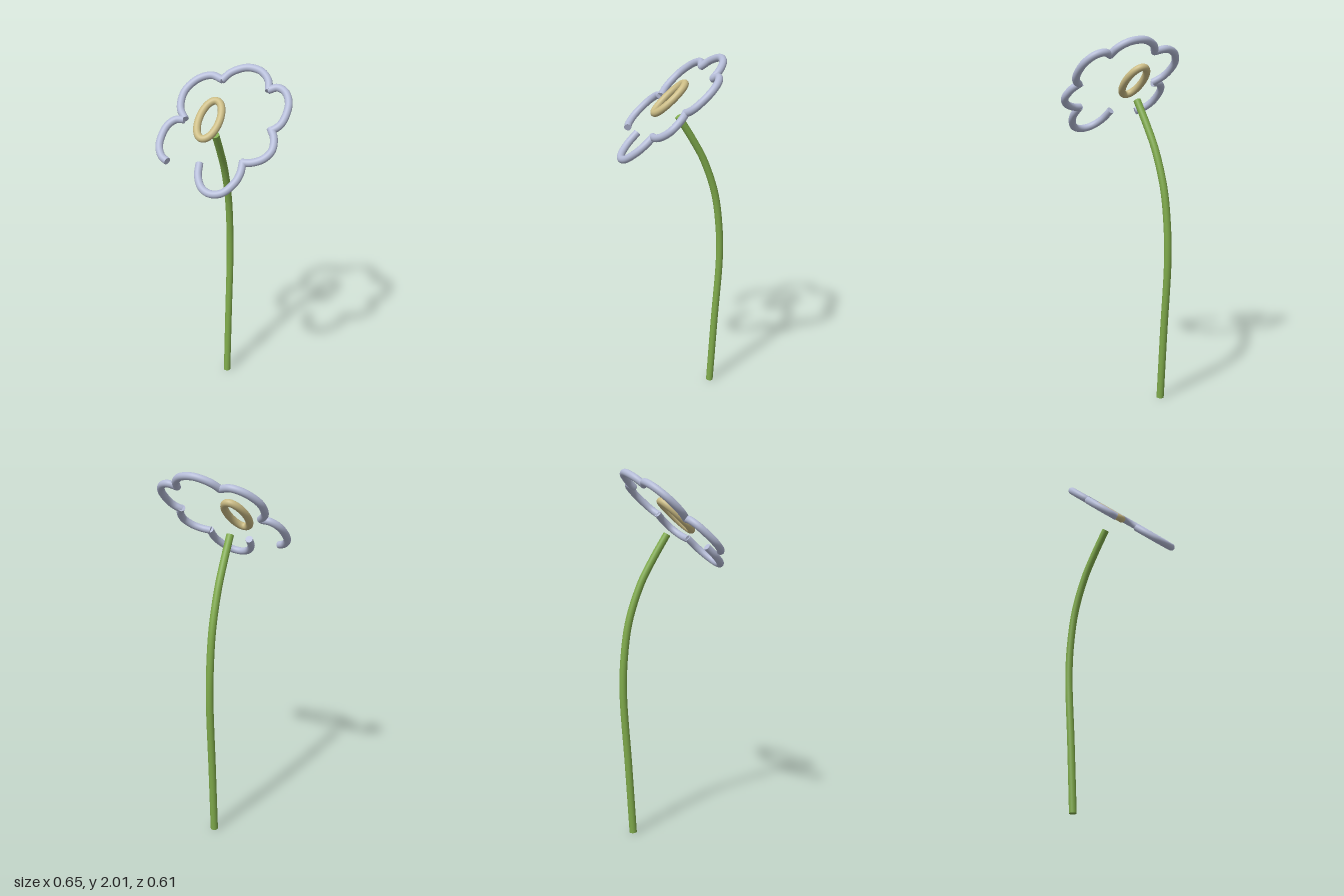
import * as THREE from 'three';

const TUBE_RADIUS = 0.0205;
const material = (color) => new THREE.MeshStandardMaterial({ color });

// The blossom lies in one tilted plane: height follows from x and z
const onBlossom = (x, z) => new THREE.Vector3(x, 1.747 - 0.43 * x - 0.81 * z, z);

// Round tube along a curve, closed by a flat disc at each end
function cappedTube(name, points, segments, mat) {
  const group = new THREE.Group();
  group.name = name;
  const curve = new THREE.CatmullRomCurve3(points, false, 'centripetal');
  const tube = new THREE.Mesh(new THREE.TubeGeometry(curve, segments, TUBE_RADIUS, 24), mat);
  tube.name = name + 'Tube';
  group.add(tube);
  for (const end of [0, 1]) {
    const cap = new THREE.Mesh(new THREE.CircleGeometry(TUBE_RADIUS, 24), mat);
    cap.name = name + 'Cap';
    const outward = curve.getTangentAt(end).multiplyScalar(end ? 1 : -1);
    cap.quaternion.setFromUnitVectors(new THREE.Vector3(0, 0, 1), outward);
    cap.position.copy(curve.getPointAt(end));
    group.add(cap);
  }
  return group;
}

export function createModel() {
  const model = new THREE.Group();
  model.name = 'flower';

  // Stem: bends within one vertical plane, given as [height, z]
  const stemProfile = [
    [0.001, -0.192], [0.4, -0.213], [0.8, -0.235], [1.0, -0.229],
    [1.2, -0.204], [1.4, -0.146], [1.52, -0.092], [1.66, -0.02],
  ];
  const stemPoints = stemProfile.map(
    ([y, z]) => new THREE.Vector3(-0.237 + (z + 0.235) / 1.5, y, z));
  model.add(cappedTube('stem', stemPoints, 80, material(0x7faa4b)));

  // Petals: six bowed tubes meeting in cusps, open at the front, as [x, z]
  const petals = [
    [[-0.122, 0.278], [-0.165, 0.283], [-0.22, 0.26], [-0.256, 0.186], [-0.24, 0.137], [-0.2, 0.108]],
    [[-0.197, 0.104], [-0.257, 0.09], [-0.297, 0.05], [-0.308, 0.012], [-0.29, -0.055], [-0.24, -0.108], [-0.172, -0.129]],
    [[-0.174, -0.124], [-0.16, -0.178], [-0.106, -0.241], [-0.044, -0.271], [-0.002, -0.277], [0.045, -0.268], [0.08, -0.241]],
    [[0.075, -0.241], [0.108, -0.277], [0.158, -0.288], [0.215, -0.264], [0.249, -0.205], [0.25, -0.17], [0.232, -0.132]],
    [[0.222, -0.138], [0.269, -0.121], [0.304, -0.08], [0.296, -0.032], [0.26, 0.013], [0.215, 0.045]],
    [[0.216, 0.038], [0.246, 0.08], [0.254, 0.121], [0.235, 0.188], [0.188, 0.227], [0.131, 0.239], [0.072, 0.22], [0.031, 0.18]],
  ];
  const petalMaterial = material(0xb4bbd6);
  petals.forEach((outline, i) => model.add(cappedTube(
    'petal' + (i + 1), outline.map(([x, z]) => onBlossom(x, z)), 48, petalMaterial)));

  // Flower centre: an oval ring in the blossom plane
  const ringPoints = [];
  for (let i = 0; i < 24; i++) {
    const t = (i / 24) * Math.PI * 2;
    ringPoints.push(onBlossom(-0.084 + 0.0645 * Math.cos(t - 0.28), 0.028 + 0.081 * Math.sin(t)));
  }
  const ring = new THREE.Mesh(
    new THREE.TubeGeometry(new THREE.CatmullRomCurve3(ringPoints, true), 72, TUBE_RADIUS, 24, true),
    material(0xcabb84));
  ring.name = 'centreRing';
  model.add(ring);

  return model;
}
